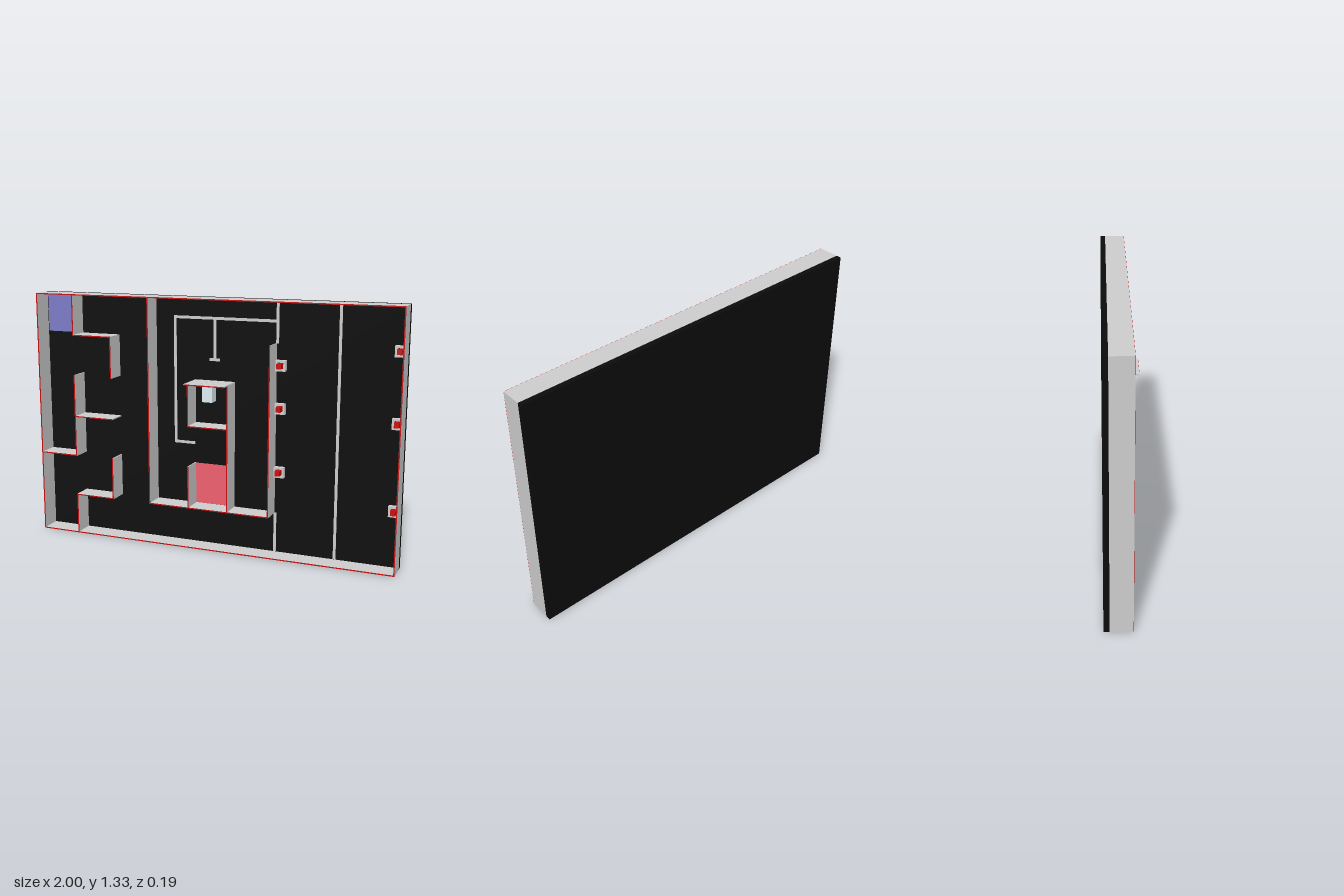
import * as THREE from 'three';

const W = 2, H = 1.333;          // field size
const BACK = -0.096;             // rear of the floor panel
const FLOOR = -0.068;            // floor surface
const TOP = 0.042;               // upper rim of the walls
const T = 0.006;                 // wall thickness

const mat = (color) => new THREE.MeshStandardMaterial({ color });

export function createModel() {
  const root = new THREE.Group();
  const grey = mat(0xcccccc), black = mat(0x0b0b0b), red = mat(0xc80a0a);
  const blueMat = mat(0x7c7cc8), pinkMat = mat(0xf06070), paleBlue = mat(0xdcecf2);

  // Box given by its extents on each axis
  function box(name, x0, x1, y0, y1, z0, z1, material, parent = root) {
    const mesh = new THREE.Mesh(new THREE.BoxGeometry(x1 - x0, y1 - y0, z1 - z0), material);
    mesh.position.set((x0 + x1) / 2, (y0 + y1) / 2, (z0 + z1) / 2);
    mesh.name = name;
    parent.add(mesh);
    return mesh;
  }

  // Floor panel
  box('floor', -W / 2, W / 2, 0, H, BACK, FLOOR, black);

  // Walls with a thin red rim; each is a centre line [x0, y0, x1, y1]
  function wall(name, [x0, y0, x1, y1], top = TOP) {
    const g = new THREE.Group();
    g.name = name;
    const e = T / 2;
    box('panel', x0 - e, x1 + e, y0 - e, y1 + e, FLOOR, top - 0.001, grey, g);
    box('rim', x0 - e, x1 + e, y0 - e, y1 + e, top - 0.001, top, red, g);
    root.add(g);
  }
  const e = T / 2, X = W / 2 - e, Y = H - e;
  [[-X, e, X, e], [-X, Y, X, Y], [-X, e, -X, Y], [X, e, X, Y]]
    .forEach((w) => wall('outerWall', w));

  // Rooms along the right-hand side
  [
    [-0.78, 1.113, -0.78, Y], [-0.78, 1.113, -0.557, 1.113], [-0.557, 0.893, -0.557, 1.113],
    [-0.78, 0.447, -0.78, 0.893], [-0.78, 0.667, -0.557, 0.667], [-X, 0.447, -0.78, 0.447],
    [-0.78, e, -0.78, 0.223], [-0.78, 0.223, -0.557, 0.223], [-0.557, 0.223, -0.557, 0.447],
  ].forEach((w) => wall('roomWall', w));

  // Central enclosure
  [
    [-0.335, 0.223, -0.335, Y], [-0.335, 0.223, 0.335, 0.223], [0.335, 0.223, 0.335, 1.11],
    [0.11, 0.223, 0.11, 0.893], [-0.11, 0.223, -0.11, 0.447],
    [-0.11, 0.667, -0.11, 0.893], [-0.11, 0.667, 0.11, 0.667],
  ].forEach((w) => wall('centreWall', w));

  // Deep shelf with a mounting ring and bolt heads
  wall('shelf', [-0.108, 0.897, 0.108, 0.897], 0.096);
  const ring = new THREE.Mesh(new THREE.TorusGeometry(0.022, 0.0015, 6, 24), grey);
  ring.rotation.x = Math.PI / 2;
  ring.position.set(0, 0.9, 0.005);
  ring.name = 'mountingRing';
  root.add(ring);
  for (const sx of [-1, 1]) for (const sz of [-1, 1]) {
    const bolt = new THREE.Mesh(new THREE.CylinderGeometry(0.004, 0.004, 0.002, 10), grey);
    bolt.position.set(sx * 0.035, 0.901, 0.005 + sz * 0.03);
    bolt.name = 'bolt';
    root.add(bolt);
  }
  box('hangingBlock', -0.028, 0.028, 0.803, 0.894, -0.012, 0.04, paleBlue);

  // Coloured floor zones
  box('blueZone', -0.99, -0.784, 1.117, 1.325, FLOOR, FLOOR + 0.002, blueMat);
  box('redZone', -0.107, 0.107, 0.227, 0.447, FLOOR, FLOOR + 0.002, pinkMat);

  // Pale guide lines on the floor
  const h = 0.0075;
  [
    [0.665, 0.015, 0.665, 1.315], [0.341, 0.015, 0.341, 0.213], [0.341, 1.12, 0.341, 1.315],
    [-0.224, 1.225, 0.341, 1.225], [-0.224, 0.556, -0.224, 1.225], [-0.224, 0.556, -0.12, 0.556],
    [0, 1.01, 0, 1.225], [-0.022, 1.01, 0.022, 1.01],
  ].forEach(([x0, y0, x1, y1]) =>
    box('guideLine', x0 - h, x1 + h, y0 - h, y1 + h, FLOOR, FLOOR + 0.002, grey));

  // Square holders, each with a red cube standing in it
  const square = (P, s) => new P([[-s, -s], [s, -s], [s, s], [-s, s]].map((p) => new THREE.Vector2(...p)));
  const frame = square(THREE.Shape, 0.028);
  frame.holes.push(square(THREE.Path, 0.017));
  const frameGeo = new THREE.ExtrudeGeometry(frame, { depth: 0.025, bevelEnabled: false });
  [[0.363, 1.002], [0.363, 0.78], [0.363, 0.445], [0.966, 1.107], [0.966, 0.75], [0.966, 0.305]]
    .forEach(([x, y]) => {
      const g = new THREE.Group();
      g.name = 'cubeHolder';
      const holder = new THREE.Mesh(frameGeo, grey);
      holder.position.set(x, y, FLOOR);
      holder.name = 'holderFrame';
      g.add(holder);
      box('redCube', x - 0.013, x + 0.013, y - 0.013, y + 0.013, FLOOR, FLOOR + 0.05, red, g);
      root.add(g);
    });

  return root;
}
